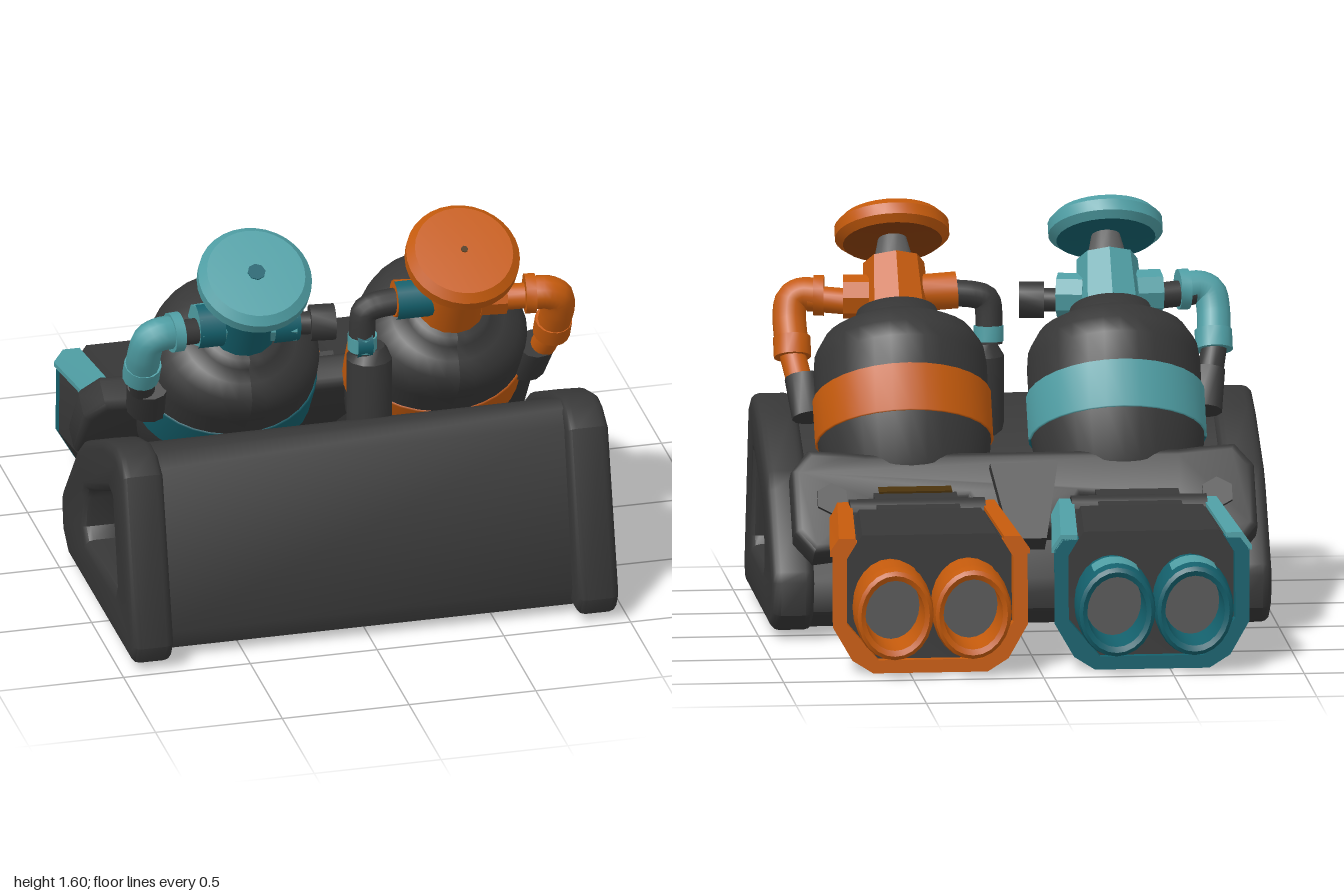
import * as THREE from 'three';
import { toCreasedNormals } from 'three/addons/utils/BufferGeometryUtils.js';

const paint = (name, color) => {
  const m = new THREE.MeshStandardMaterial({ color });
  m.name = name;
  return m;
};
const V = (x, y, z) => new THREE.Vector3(x, y, z);
const poly = (pts) => new THREE.Shape(pts.map(([x, y]) => new THREE.Vector2(x, y)));
const clamp = THREE.MathUtils.clamp;

export function createModel() {
  const root = new THREE.Group();
  const dark = paint('charcoal', 0x373737);
  const grey = paint('grey', 0x5c5c5c);
  const orange = paint('orange', 0xc45a0c);
  const deepOrange = paint('deep orange', 0x8a3f0a);
  const teal = paint('light teal', 0x4f9ea4);
  const deepTeal = paint('deep teal', 0x14606c);
  const brown = paint('brown', 0x4a320c);

  const add = (parent, name, geo, mat) => {
    const m = new THREE.Mesh(geo, mat);
    m.name = name;
    parent.add(m);
    return m;
  };
  const lathe = (pts, seg = 32, start = 0, sweep = Math.PI * 2) =>
    new THREE.LatheGeometry(pts.map(([r, y]) => new THREE.Vector2(r, y)), seg, start, sweep);
  // Cylinder running between two points
  const rod = (parent, name, a, b, r, mat, seg = 16, r2 = r) => {
    const d = b.clone().sub(a);
    const m = add(parent, name, toCreasedNormals(new THREE.CylinderGeometry(r2, r, d.length(), seg), 0.7), mat);
    m.position.copy(a).add(b).multiplyScalar(0.5);
    m.quaternion.setFromUnitVectors(V(0, 1, 0), d.normalize());
    return m;
  };
  // Thin shell over the front half of a cylinder
  const frontShell = (r, r2, len) => new THREE.CylinderGeometry(r2, r, len, 8, 1, true, -Math.PI / 2, Math.PI);
  const nutShell = (x, y, z, r, len, mat) =>
    add(root, 'nutShell', frontShell(r, r, len).rotateZ(Math.PI / 2), mat).position.set(x, y, z);
  const hose = (name, pts, r, mat) =>
    add(root, name, new THREE.TubeGeometry(new THREE.CatmullRomCurve3(pts, false, 'catmullrom', 0.4), 20, r, 12), mat);

  // Extrude a (z, y) outline along x, centred on x
  const sideExtrude = (outline, hole, width, bevel) => {
    const s = poly(outline);
    s.holes.push(poly(hole));
    const g = new THREE.ExtrudeGeometry(s, {
      depth: width - 2 * bevel, bevelEnabled: bevel > 0, bevelSize: bevel, bevelThickness: bevel,
      bevelOffset: -bevel, bevelSegments: 3,
    });
    g.translate(0, 0, -(width - 2 * bevel) / 2).rotateY(-Math.PI / 2);
    return toCreasedNormals(g, 0.75);
  };

  // Base: two side frames and the hollow wedge between them
  const hole = [[0.65, 0.6], [0.61, 0.61], [0.24, 0.44], [0.22, 0.4], [0.2, 0.27], [0.24, 0.23], [0.7, 0.24], [0.72, 0.27]];
  const frame = [[1, 0.12], [0.96, 0.045], [-0.04, 0.04], [-0.13, 0.11], [-0.15, 0.24], [-0.13, 0.28],
    [0.1, 0.56], [0.17, 0.62], [0.5, 0.78], [0.66, 0.83], [0.74, 0.82], [0.83, 0.77]];
  for (const s of [-1, 1]) add(root, 'sideFrame', sideExtrude(frame, hole, 0.165, 0.035), dark).position.x = s * 0.878;
  const wedge = [[0.9, 0.13], [0.87, 0.05], [-0.03, 0.05], [-0.11, 0.12], [-0.12, 0.24],
    [0.1, 0.52], [0.17, 0.58], [0.5, 0.75], [0.66, 0.82], [0.72, 0.81], [0.77, 0.76]];
  add(root, 'baseWedge', sideExtrude(wedge, hole, 1.64, 0), dark);

  // Rear bracket plate with hexagonal bolts
  const bracket = new THREE.Group();
  bracket.name = 'rearBracket';
  bracket.position.set(0, 0.53, -0.17);
  bracket.rotation.x = 0.62;
  root.add(bracket);
  const half = [[0.14, -0.13], [0.22, 0.0], [0.58, -0.02], [0.67, -0.2], [0.82, -0.22], [0.89, -0.13], [0.89, 0.13], [0.82, 0.22], [0.68, 0.21], [0.6, 0.2]];
  const plate = poly([...half, ...half.slice().reverse().map(([x, y]) => [-x, y])]);
  add(bracket, 'bracketPlate', toCreasedNormals(new THREE.ExtrudeGeometry(plate, {
    depth: 0.08, bevelSize: 0.03, bevelThickness: 0.03, bevelOffset: -0.03, bevelSegments: 3,
  }), 0.7).translate(0, 0, -0.05), dark);
  for (const s of [-1, 1]) rod(bracket, 'bolt', V(s * 0.74, 0, -0.075), V(s * 0.74, 0, -0.095), 0.065, dark, 6);
  const brace = poly([[-0.13, 0.12], [0.13, 0.12], [0.07, -0.2], [-0.07, -0.2]]);
  add(bracket, 'centreBrace', new THREE.ExtrudeGeometry(brace, { depth: 0.1, bevelEnabled: false }).translate(0, 0, -0.13), dark);

  // Depth rule of a tank: fuller at the back of the shoulder, flatter in front and towards its foot
  const shapeTank = (g) => {
    const p = g.attributes.position;
    for (let i = 0; i < p.count; i++) {
      const t = p.getY(i), z = p.getZ(i);
      const top = z < 0 ? 1.1 : 0.82;
      const f = t > -0.6 ? 1 + (top - 1) * clamp((-0.4 - t) / 0.2, 0, 1) : top - (z < 0 ? 0.66 : 0.25) * (-0.6 - t);
      p.setZ(i, z * f);
    }
    g.computeVertexNormals();
    return g;
  };
  // Tilted tank with valve and handwheel, measured down from the wheel
  const bandProfile = [[0.333, -0.89], [0.343, -0.888], [0.343, -0.712], [0.333, -0.71]];
  const tank = (name, x, light, deep, under, hub, hubRadius) => {
    const g = new THREE.Group();
    g.name = name;
    g.position.set(x, 1.465, 0.65);
    g.rotation.x = 0.594;
    root.add(g);
    add(g, 'tankBody', shapeTank(lathe([[0, -1.15], [0.24, -1.15], [0.31, -1.08], [0.333, -0.89], [0.333, -0.71], [0.333, -0.6],
      [0.325, -0.53], [0.285, -0.46], [0.22, -0.42], [0.165, -0.4], [0.155, -0.35], [0, -0.34]])), dark);
    add(g, 'tankBandBack', shapeTank(lathe(bandProfile, 16, Math.PI / 2, Math.PI)), light);
    add(g, 'tankBandFront', shapeTank(lathe(bandProfile, 16, -Math.PI / 2, Math.PI)), deep);
    rod(g, 'valveBody', V(0, -0.36, 0), V(0, -0.14, 0), 0.132, light, 8, 0.117);
    add(g, 'valveFront', frontShell(0.135, 0.12, 0.22), deep).position.y = -0.25;
    rod(g, 'wheelStem', V(0, -0.15, 0), V(0, -0.04, 0), 0.08, grey, 16, 0.055);
    add(g, 'handwheel', toCreasedNormals(lathe([[0.19, -0.055], [0.22, -0.03], [0.22, 0.015], [0.19, 0.045], [0, 0.055]]), 0.6), light);
    add(g, 'handwheelUnderside', lathe([[0, -0.04], [0.15, -0.045], [0.19, -0.055]]), under);
    rod(g, 'wheelHubSpot', V(0, 0.05, 0), V(0, 0.058, 0), hubRadius, hub, 8);
  };
  tank('tealTank', -0.395, teal, deepTeal, deepTeal, deepTeal, 0.035);
  tank('orangeTank', 0.425, orange, orange, deepOrange, brown, 0.014);

  // Outer feed pipes: nut, pipe, elbow, collar and foot clamp
  const feed = (s, cx, nutMat, pipeMat, elbowMat) => {
    const X = (d) => cx + s * d;
    rod(root, 'valveNut', V(X(0.1), 1.23, 0.51), V(X(0.2), 1.23, 0.52), 0.085, nutMat, 8);
    rod(root, 'feedPipe', V(X(0.18), 1.21, 0.52), V(X(0.33), 1.22, 0.55), 0.05, pipeMat);
    hose('elbow', [V(X(0.28), 1.23, 0.55), V(X(0.35), 1.235, 0.565), V(X(0.395), 1.21, 0.56), V(X(0.405), 1.14, 0.53), V(X(0.4), 1.04, 0.47)], 0.065, elbowMat);
    rod(root, 'elbowRim', V(X(0.27), 1.23, 0.55), V(X(0.31), 1.23, 0.555), 0.078, elbowMat);
    rod(root, 'collar', V(X(0.4), 1.08, 0.49), V(X(0.4), 1.01, 0.455), 0.072, elbowMat);
    rod(root, 'pipeEnd', V(X(0.4), 1.02, 0.46), V(X(0.38), 0.93, 0.4), 0.05, s > 0 ? elbowMat : dark);
    const clampBlock = rod(root, 'footClamp', V(X(0.36), 0.94, 0.4), V(X(0.34), 0.8, 0.31), 0.08, dark, 12);
    clampBlock.scale.z = 0.8;
  };
  feed(1, 0.425, orange, orange, orange);
  feed(-1, -0.395, teal, dark, teal);
  nutShell(-0.545, 1.23, 0.517, 0.088, 0.1, deepTeal);

  // Teal tank inner plug
  rod(root, 'valveNut', V(-0.3, 1.22, 0.51), V(-0.2, 1.22, 0.53), 0.085, teal, 8);
  nutShell(-0.25, 1.22, 0.522, 0.088, 0.1, deepTeal);
  rod(root, 'plugStem', V(-0.21, 1.2, 0.53), V(-0.13, 1.2, 0.54), 0.045, dark);
  rod(root, 'plug', V(-0.15, 1.2, 0.54), V(-0.055, 1.2, 0.55), 0.07, dark, 12);

  // Orange tank inner pipe
  rod(root, 'valveNut', V(0.19, 1.25, 0.51), V(0.34, 1.24, 0.51), 0.072, orange);
  nutShell(0.265, 1.245, 0.512, 0.077, 0.15, deepTeal);
  hose('innerPipe', [V(0.22, 1.24, 0.51), V(0.12, 1.23, 0.51), V(0.07, 1.2, 0.51), V(0.065, 1.04, 0.5)], 0.052, dark);
  rod(root, 'innerCollar', V(0.067, 1.11, 0.505), V(0.067, 1.05, 0.5), 0.057, teal);
  nutShell(0.067, 1.08, 0.506, 0.059, 0.06, deepTeal);
  rod(root, 'innerClamp', V(0.1, 0.7, 0.48), V(0.1, 1.0, 0.48), 0.09, dark, 12);
  rod(root, 'innerClampTop', V(0.1, 1.0, 0.48), V(0.1, 1.05, 0.48), 0.09, dark, 12, 0.06);

  // Thruster housings: cross-sections extruded backwards, narrowing and rising to the front
  const housingPart = (shape, u0, u1) => {
    const g = new THREE.ExtrudeGeometry(shape, { depth: u1 - u0, bevelEnabled: false });
    const p = g.attributes.position;
    for (let i = 0; i < p.count; i++) {
      const x = p.getX(i), y = p.getY(i), u = p.getZ(i) + u0;
      const front = -0.36 + 0.3 * Math.min(y, 0.38), back = -0.84 + 0.05 * y;
      p.setXYZ(i, -x * (0.86 + 0.14 * u), y * (1.08 - 0.08 * u), front + (back - front) * u);
    }
    return toCreasedNormals(g, 0.5);
  };
  const section = [[-0.22, 0.01], [0.22, 0.01], [0.3, 0.06], [0.375, 0.19], [0.375, 0.47], [0.345, 0.515], [-0.345, 0.515], [-0.375, 0.47], [-0.375, 0.19], [-0.3, 0.06]];
  // U-shaped end rim, open at the top
  const rimHalf = [[0.22, 0.01], [0.3, 0.06], [0.375, 0.19], [0.375, 0.47], [0.345, 0.515], [0.28, 0.515], [0.32, 0.45], [0.32, 0.2], [0.2, 0.06]];
  const mirrored = rimHalf.map(([x, y]) => [-x, y]).reverse();
  const rim = [...rimHalf, ...mirrored];
  const strip = [[0.285, 0.51], [0.285, 0.53], [0.35, 0.53], [0.385, 0.48], [0.385, 0.462], [0.37, 0.462], [0.37, 0.47], [0.34, 0.51]];
  const nozzleProfile = [[0.16, -0.06], [0.172, 0.04], [0.172, 0.14], [0.165, 0.175], [0.15, 0.185], [0.13, 0.175], [0.122, -0.02]];
  const thruster = (name, x, trim, endMat) => {
    const g = new THREE.Group();
    g.name = name;
    g.position.x = x;
    root.add(g);
    add(g, 'housing', housingPart(poly(section), 0, 0.93), dark);
    add(g, 'housingRim', housingPart(poly(rim), 0.93, 1), endMat);
    for (const s of [-1, 1]) {
      add(g, 'trimStrip', housingPart(poly(strip.map(([a, b]) => [a * s, b])), 0.02, 1), trim);
      const n = new THREE.Group();
      n.name = 'nozzle';
      n.position.set(s * 0.15, 0.27, -0.815);
      n.rotation.x = -0.06;
      n.scale.set(0.88, 1.06, 1);
      g.add(n);
      add(n, 'nozzleRing', toCreasedNormals(lathe(nozzleProfile, 24), 0.6).rotateX(-Math.PI / 2), endMat);
      add(n, 'nozzleTopPatch', lathe([[0.174, 0.03], [0.175, 0.145]], 8, -0.6, 1.2).rotateX(-Math.PI / 2), trim);
      add(n, 'nozzleBack', new THREE.CircleGeometry(0.124, 24).rotateY(Math.PI), grey).position.z = -0.01;
    }
    add(g, 'topPanel', housingPart(poly([[-0.28, 0.51], [0.28, 0.51], [0.26, 0.54], [-0.26, 0.54]]), 0.3, 0.99), dark);
    // Hinge block and strut joining the housing to the bracket and base
    const link = add(g, 'hingeBlock', new THREE.BoxGeometry(0.32, 0.18, 0.28), dark);
    link.position.set(0, 0.5, -0.25);
    link.rotation.x = -0.2;
    rod(g, 'hingePin', V(-0.26, 0.53, -0.3), V(0.26, 0.53, -0.3), 0.06, dark);
    const strut = add(g, 'strut', new THREE.BoxGeometry(0.24, 0.28, 0.1), dark);
    strut.position.set(0, 0.39, -0.14);
    strut.rotation.x = 0.45;
  };
  thruster('tealThruster', -0.432, teal, deepTeal);
  thruster('orangeThruster', 0.42, orange, orange);
  const hingePlate = add(root, 'hingePlate', new THREE.BoxGeometry(0.28, 0.008, 0.07), brown);
  hingePlate.position.set(0.42, 0.612, -0.22);
  hingePlate.rotation.x = -0.2;

  return root;
}
